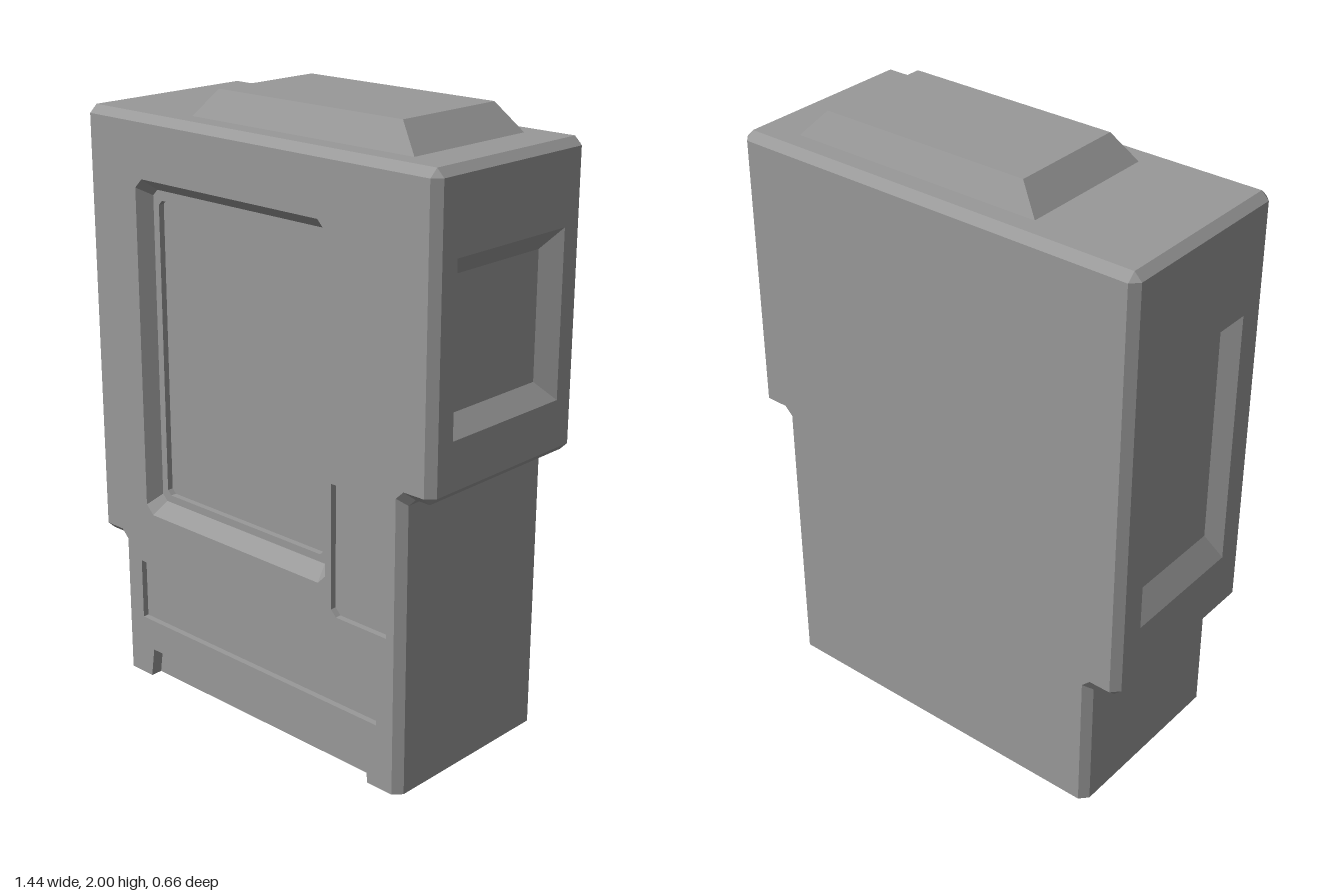
import * as THREE from 'three';

const material = new THREE.MeshStandardMaterial({ color: 0x999999, flatShading: true, side: THREE.DoubleSide });

// Quads between successive loops of [x, y, z] points
function strip(loops, closed = true, skip = []) {
  const pos = [];
  const n = loops[0].length;
  for (let j = 0; j < loops.length - 1; j++) {
    for (let i = 0; i < (closed ? n : n - 1); i++) {
      if (skip.includes(i)) continue;
      const k = (i + 1) % n;
      const a = loops[j][i], b = loops[j][k], c = loops[j + 1][k], d = loops[j + 1][i];
      pos.push(...a, ...b, ...c, ...a, ...c, ...d);
    }
  }
  const g = new THREE.BufferGeometry();
  g.setAttribute('position', new THREE.Float32BufferAttribute(pos, 3));
  g.computeVertexNormals();
  return g;
}

const at = (pts, z) => pts.map(([x, y]) => [x, y, z]);

// Flat face with optional holes
function face(pts, z, holes = []) {
  const vec = (list) => list.map(([x, y]) => new THREE.Vector2(x, y));
  const shape = new THREE.Shape(vec(pts));
  shape.holes = holes.map((h) => new THREE.Path(vec(h)));
  return new THREE.ShapeGeometry(shape).translate(0, 0, z);
}

// Counter-clockwise rectangle with chamfered corners (c = 0 for sharp)
function rect(x0, x1, y0, y1, c = 0) {
  if (!c) return [[x0, y0], [x1, y0], [x1, y1], [x0, y1]];
  return [[x0 + c, y0], [x1 - c, y0], [x1, y0 + c], [x1, y1 - c],
    [x1 - c, y1], [x0 + c, y1], [x0, y1 - c], [x0, y0 + c]];
}

function add(parent, name, geometry) {
  const mesh = new THREE.Mesh(geometry, material);
  mesh.name = name;
  parent.add(mesh);
}

// Stepped pocket or raised block: levels are [outline, z], the last one is capped
function pocket(parent, name, levels, closed = true) {
  const g = new THREE.Group();
  g.name = name;
  const [endPts, endZ] = levels[levels.length - 1];
  add(g, name + 'Walls', strip(levels.map(([p, z]) => at(p, z)), closed));
  add(g, name + 'Face', face(endPts, endZ));
  parent.add(g);
}

export function createModel() {
  const model = new THREE.Group();
  model.name = 'cabinet';
  const Z = 0.33, ZI = 0.303;

  // Cabinet silhouette, and the same inset for the front and back faces
  const outline = [[-0.617, 0], [-0.617, 0.455], [-0.642, 0.48], [-0.693, 0.48], [-0.718, 0.505],
    [-0.718, 1.89], [-0.693, 1.915], [0.693, 1.915], [0.718, 1.89], [0.718, 0.987],
    [0.693, 0.962], [0.641, 0.962], [0.615, 0.937], [0.615, 0]];
  const inset = [[-0.592, 0], [-0.592, 0.477], [-0.62, 0.505], [-0.693, 0.505], [-0.693, 0.505],
    [-0.693, 1.89], [-0.693, 1.89], [0.693, 1.89], [0.693, 1.89], [0.693, 0.987],
    [0.693, 0.987], [0.618, 0.987], [0.59, 0.96], [0.59, 0]];
  const corners = inset.filter((p, i) => !i || p[0] !== inset[i - 1][0] || p[1] !== inset[i - 1][1]);

  // Shell with chamfered edges and an open bottom; the two upper sides are added below
  const bevel = (a, za, b, zb) => strip([at(a, za), at(b, zb)], false);
  add(model, 'frontBevel', bevel(inset, Z, outline, ZI));
  add(model, 'shellWalls', strip([at(outline, ZI), at(outline, -ZI)], false, [4, 8]));
  add(model, 'backBevel', bevel(outline, -ZI, inset, -Z));
  add(model, 'back', face(corners.map(([x, y]) => [-x, y]), Z).rotateY(Math.PI));

  // Front face with its pockets
  const screen = rect(-0.49, 0.315, 0.6, 1.715, 0.03);
  const glass = rect(-0.44, 0.262, 0.665, 1.645, 0.015);
  const smallPanel = [[0.36, 0.51], [0.56, 0.51], [0.56, 0.935], [0.34, 0.935], [0.34, 0.53]];
  const lowerPanel = rect(-0.527, 0.525, 0.21, 0.417);
  const notch = [[0.492, 0], [0.48, 0.102], [-0.48, 0.102], [-0.495, 0]];
  add(model, 'front', face([...corners, ...notch], Z, [screen, smallPanel, lowerPanel]));
  // Sloped frame, flat ledge, then a shallow straight step to the glass
  pocket(model, 'screen', [
    [screen, Z],
    [rect(-0.465, 0.287, 0.64, 1.677, 0.02), Z - 0.05],
    [glass, Z - 0.05],
    [glass, Z - 0.07],
  ]);
  pocket(model, 'smallPanel', [[smallPanel, Z], [smallPanel, Z - 0.02]]);
  pocket(model, 'lowerPanel', [[lowerPanel, Z], [lowerPanel, Z - 0.02]]);
  pocket(model, 'baseNotch', [[notch, Z], [notch, Z - 0.04]], false);

  // Upper sides, each with a sloping pocket
  const side = (name, x, y0, outer, inner) => {
    const g = new THREE.Group();
    g.name = name;
    add(g, name + 'Wall', face(rect(-ZI, ZI, y0, 1.89), Math.abs(x), [outer]));
    pocket(g, name + 'Pocket', [[outer, Math.abs(x)], [inner, Math.abs(x) - 0.047]]);
    g.rotation.y = Math.sign(x) * Math.PI / 2;
    model.add(g);
  };
  side('leftSide', 0.718, 0.987, rect(-0.24, 0.24, 1.14, 1.663), rect(-0.183, 0.183, 1.2, 1.602));
  side('rightSide', -0.718, 0.505, rect(-0.22, 0.22, 0.695, 1.56), rect(-0.18, 0.18, 0.78, 1.51));

  // Sloped block on the roof
  const roof = new THREE.Group();
  roof.name = 'roof';
  pocket(roof, 'roofBlock', [
    [rect(-0.32, 0.56, -0.24, 0.24), 1.915],
    [rect(-0.247, 0.48, -0.197, 0.2), 2],
  ]);
  roof.rotation.x = -Math.PI / 2;
  model.add(roof);

  return model;
}
